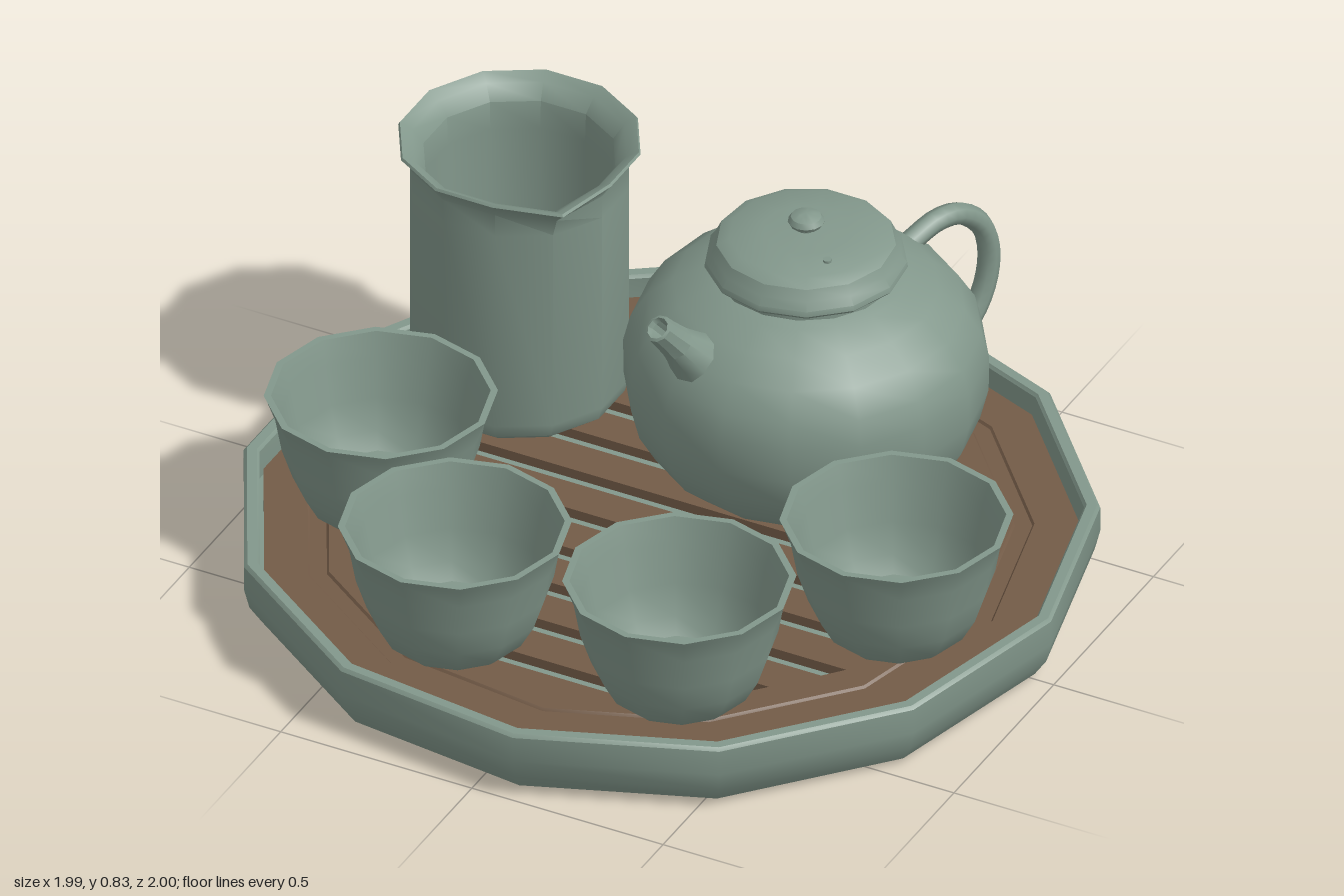
import * as THREE from 'three';
import { toCreasedNormals } from 'three/addons/utils/BufferGeometryUtils.js';

const glaze = new THREE.MeshStandardMaterial({ color: 0x82978b });
glaze.name = 'celadon green';
const wood = new THREE.MeshStandardMaterial({ color: 0x735b47 });
wood.name = 'brown wood';

const v2 = (pts) => pts.map(([x, y]) => new THREE.Vector2(x, y));

function add(parent, name, geometry, material = glaze) {
  const mesh = new THREE.Mesh(geometry, material);
  mesh.name = name;
  parent.add(mesh);
  return mesh;
}

// Turned part: profile runs from the bottom, up the outside, then back inside
function turned(profile, sides, phase = 0) {
  return toCreasedNormals(new THREE.LatheGeometry(v2(profile), sides, phase), 0.62);
}

function group(parent, name, x, z) {
  const g = new THREE.Group();
  g.name = name;
  g.position.set(x, 0, z);
  parent.add(g);
  return g;
}

const SIDES = 13;
const FLOOR = 0.13;

function buildTray(root) {
  const tray = group(root, 'tray', -0.0145, 0);
  add(tray, 'trayBody', turned([
    [0, 0], [0.92, 0], [0.965, 0.015], [0.995, 0.06], [1.0075, 0.11], [1.0075, 0.175],
    [1.0, 0.183], [0.976, 0.183], [0.97, 0.175], [0.97, 0.1], [0, 0.1],
  ], SIDES, Math.PI / 2));

  // Wooden border with a shallow carved groove
  add(tray, 'woodBorder', turned([
    [0.96, 0.1], [0.96, FLOOR], [0.855, FLOOR], [0.85, 0.124],
    [0.81, 0.124], [0.805, FLOOR], [0.78, FLOOR],
  ], SIDES, Math.PI / 2), wood);

  // Slatted centre: polygon plate with drain slots trimmed to an inner polygon
  const plate = new THREE.Shape();
  for (let i = 0; i < SIDES; i++) {
    const a = (i / SIDES) * Math.PI * 2;
    plate[i ? 'lineTo' : 'moveTo'](0.78 * Math.cos(a), 0.78 * Math.sin(a));
  }
  const apothem = 0.73 * Math.cos(Math.PI / SIDES);
  const span = (y) => {
    let left = -1, right = 1;
    for (let i = 0; i < SIDES; i++) {
      const a = ((i + 0.5) / SIDES) * Math.PI * 2;
      const x = (apothem - y * Math.sin(a)) / Math.cos(a);
      if (Math.cos(a) > 0) right = Math.min(right, x);
      else left = Math.max(left, x);
    }
    return [left, right];
  };
  for (let i = 0; i < 10; i++) {
    const y0 = -0.65 + i * 0.145 - 0.024, y1 = y0 + 0.048;
    const [l0, r0] = span(y0), [l1, r1] = span(y1);
    plate.holes.push(new THREE.Path(v2([[l0, y0], [l1, y1], [r1, y1], [r0, y0]])));
  }
  const slats = new THREE.ExtrudeGeometry(plate, { depth: FLOOR - 0.105, bevelEnabled: false });
  slats.rotateX(-Math.PI / 2).translate(0, 0.105, 0);
  add(tray, 'woodSlats', slats, wood);
}

function buildCups(root) {
  const geometry = turned([
    [0, FLOOR], [0.15, FLOOR], [0.172, 0.15], [0.205, 0.21], [0.23, 0.285], [0.245, 0.37],
    [0.265, 0.425], [0.272, 0.44], [0.255, 0.44], [0.235, 0.38], [0.215, 0.28],
    [0.19, 0.205], [0.165, 0.165], [0, 0.16],
  ], 12);
  const spots = [[-0.64, 0.23], [-0.24, 0.625], [0.325, 0.583], [0.655, 0.127]];
  for (const [x, z] of spots) add(group(root, 'cup', x, z), 'cupBowl', geometry);
}

function buildPitcher(root) {
  const pitcher = group(root, 'pitcher', -0.58, -0.35);
  const raw = new THREE.LatheGeometry(v2([
    [0, FLOOR], [0.225, FLOOR], [0.25, 0.15], [0.26, 0.185], [0.26, 0.72], [0.26, 0.78],
    [0.272, 0.805], [0.288, 0.82], [0.284, 0.826], [0.255, 0.81], [0.228, 0.775],
    [0.225, 0.7], [0.225, 0.19], [0.2, 0.16], [0, 0.155],
  ]), 12, Math.PI / 4);
  // Pull the rim outward on the front corner to make the pouring lip
  const p = raw.attributes.position;
  for (let i = 0; i < p.count; i++) {
    const x = p.getX(i), y = p.getY(i), z = p.getZ(i);
    const facing = (x + z) / Math.SQRT2 / (Math.hypot(x, z) || 1);
    if (y > 0.74 && facing > 0.95) {
      const k = 1 + 0.17 * Math.min(1, (y - 0.74) / 0.06);
      p.setXYZ(i, x * k, y, z * k);
    }
  }
  add(pitcher, 'pitcherBody', toCreasedNormals(raw, 0.62));
}

function buildTeapot(root) {
  const pot = group(root, 'teapot', 0.15, -0.388);
  add(pot, 'teapotBody', turned([
    [0, FLOOR], [0.27, FLOOR], [0.31, 0.15], [0.365, 0.2], [0.405, 0.27], [0.425, 0.35],
    [0.426, 0.44], [0.41, 0.505], [0.37, 0.57], [0.31, 0.62], [0.24, 0.656], [0.215, 0.665],
    [0.215, 0.69], [0, 0.69],
  ], 16));
  add(pot, 'lid', turned([
    [0, 0.68], [0.228, 0.68], [0.238, 0.69], [0.236, 0.703], [0.222, 0.722], [0.21, 0.748],
    [0.18, 0.764], [0.1, 0.774], [0.022, 0.778], [0.022, 0.783], [0.038, 0.791], [0.043, 0.801],
    [0.036, 0.813], [0.018, 0.821], [0, 0.823],
  ], 13));
  add(pot, 'steamHole', new THREE.CylinderGeometry(0.011, 0.011, 0.008, 8).translate(0.1, 0.771, 0.085));

  // Spout and handle lie on one line; local +z points toward the spout
  const line = new THREE.Group();
  line.name = 'spoutAndHandle';
  line.rotation.y = Math.atan2(-0.37, 0.93);
  pot.add(line);
  const spout = add(line, 'spout', turned([
    [0.085, 0], [0.07, 0.05], [0.054, 0.1], [0.042, 0.15], [0.036, 0.2], [0.034, 0.235],
    [0.027, 0.238], [0.022, 0.225], [0.02, 0.12], [0, 0.12],
  ], 10));
  spout.position.set(0, 0.52, 0.3);
  spout.rotation.x = Math.atan2(0.15, 0.175);

  const path = [[0.31, 0.595], [0.4, 0.622], [0.47, 0.61], [0.535, 0.55], [0.56, 0.46],
    [0.54, 0.36], [0.49, 0.29], [0.44, 0.27], [0.385, 0.3]];
  const curve = new THREE.CatmullRomCurve3(path.map(([d, y]) => new THREE.Vector3(0, y, -d)));
  add(line, 'handle', new THREE.TubeGeometry(curve, 24, 0.027, 8));
}

export function createModel() {
  const root = new THREE.Group();
  root.name = 'teaSet';
  buildTray(root);
  buildCups(root);
  buildPitcher(root);
  buildTeapot(root);
  return root;
}
